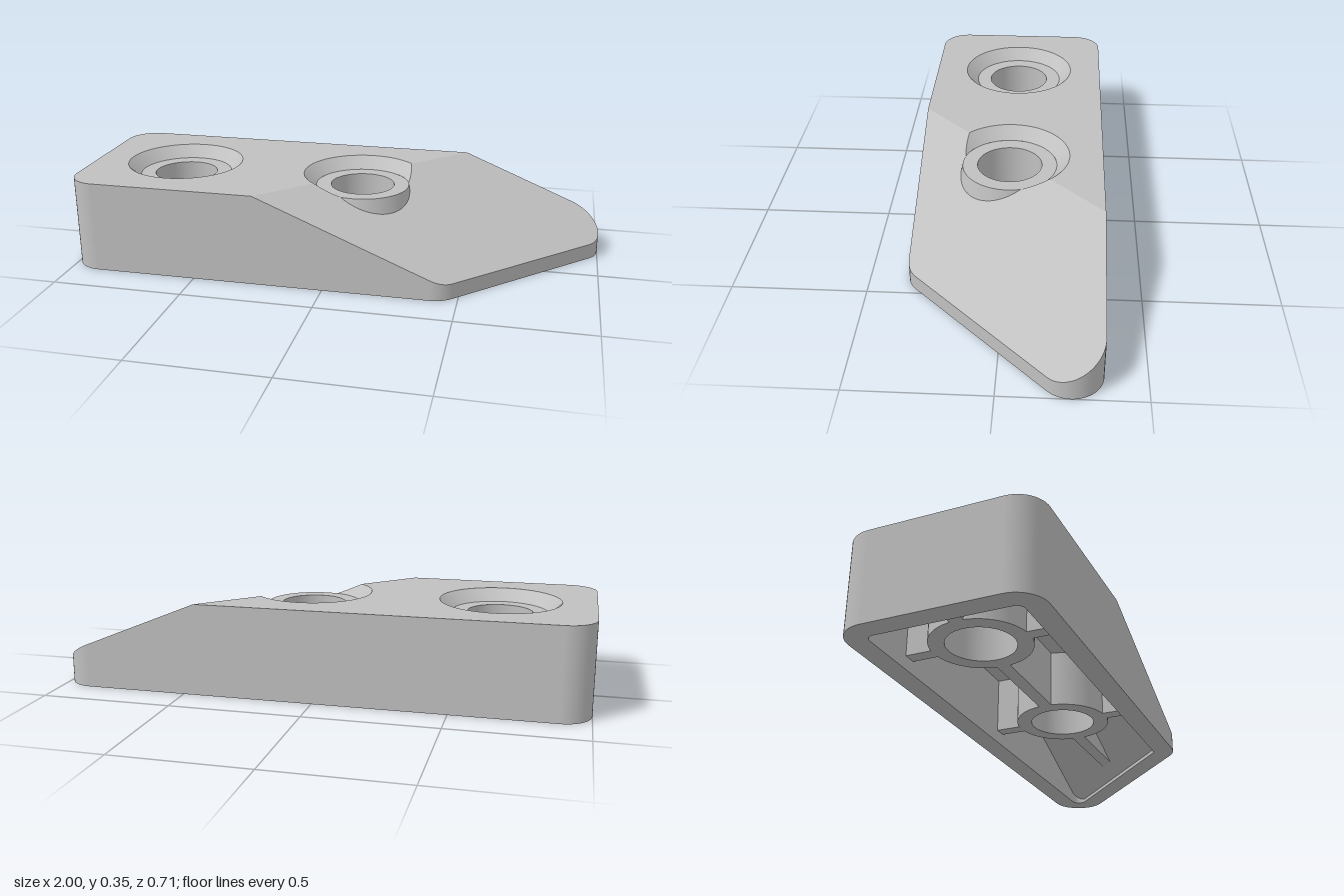
import * as THREE from 'three';
import { toCreasedNormals } from 'three/addons/utils/BufferGeometryUtils.js';

const TOP = 0.35, WALL = 0.08, HALF_Z = 0.355;
const SPLIT = 0.095;              // x + z where the flat top turns into the ramp
const CEIL_SPLIT = 0.066;         // same for the ceiling of the cavity
const RAMP = 0.4113, RAMP_DROP = 0.092;
const HOLES = [-0.645, 0.082];    // x of the two screw holes
const BORE = 0.123, BOSS = 0.18, LIP = 0.228, SEAT = 0.305, BOSS_Y = 0.05;
const D = Math.PI / 180;

// Height of the outer top and of the cavity ceiling, for s = x + z
const topY = (s) => Math.min(TOP, TOP - RAMP * (s - SPLIT));
const ceilY = (s) => Math.min(TOP - WALL, TOP - RAMP * (s - SPLIT) - RAMP_DROP);

// Rounded plan outline as {x, y: -z, nx, ny}, with points where the ramp line crosses it
function outline(inset, split) {
  const pts = [], r = 0.11 - inset, edge = HALF_Z - inset;
  const arc = (cx, cy, from, to) => {
    const n = Math.round((to - from) / 7.5);
    for (let i = 0; i <= n; i++) {
      const a = (from + (to - from) * i / n) * D, nx = Math.cos(a), ny = Math.sin(a);
      pts.push({ x: cx + r * nx, y: cy + r * ny, nx, ny });
    }
  };
  arc(-0.89, -0.245, 180, 270);
  const a = pts.push({ x: split - edge, y: -edge, nx: 0, ny: -1 }) - 1;
  arc(0.3995, -0.245, 270, 315);
  arc(0.89, 0.245, 315, 450);
  const b = pts.push({ x: split + edge, y: edge, nx: 0, ny: 1 }) - 1;
  arc(-0.89, 0.245, 90, 180);
  return { pts, ramp: pts.slice(a, b + 1), flat: [...pts.slice(b), ...pts.slice(0, a + 1)] };
}

// Quad strip between two rows of [x, y, z]
function strip(A, B, normals) {
  const n = A.length, index = [];
  for (let i = 0; i < n - 1; i++) index.push(i, i + 1, n + i + 1, i, n + i + 1, n + i);
  const g = new THREE.BufferGeometry();
  g.setAttribute('position', new THREE.Float32BufferAttribute([...A, ...B].flat(), 3));
  g.setIndex(index);
  if (!normals) return toCreasedNormals(g, 0.5);
  g.setAttribute('normal', new THREE.Float32BufferAttribute([...normals, ...normals].flat(), 3));
  return g;
}

// Vertical wall along an outline, from y = 0 up to a height rule
function wall(pts, height, inward) {
  const loop = [...pts, pts[0]], k = inward ? -1 : 1;
  const low = loop.map((p) => [p.x, 0, -p.y]);
  const high = loop.map((p) => [p.x, height(p.x - p.y), -p.y]);
  const normals = loop.map((p) => [k * p.nx, 0, -k * p.ny]);
  return inward ? strip(high, low, normals) : strip(low, high, normals);
}

// Flat or ramped sheet filling a plan polygon
function panel(pts, holes, height, down) {
  const v2 = (list) => list.map((p) => new THREE.Vector2(p.x, p.y));
  const shape = new THREE.Shape(v2(pts));
  for (const h of holes) shape.holes.push(new THREE.Path(v2(h)));
  const g = new THREE.ShapeGeometry(shape).rotateX(-Math.PI / 2);
  const p = g.attributes.position;
  for (let i = 0; i < p.count; i++) p.setY(i, height(p.getX(i) + p.getZ(i)));
  if (down) g.setIndex(Array.from(g.index.array).reverse());
  g.computeVertexNormals();
  return g;
}

const circle = (cx, r) => Array.from({ length: 64 }, (_, i) =>
  ({ x: cx + r * Math.cos(i * Math.PI / 32), y: r * Math.sin(i * Math.PI / 32) }));

// Points round the second hole, from angle p0 to p1 measured from the ramp direction
function holeArc(p0, p1, radius) {
  return Array.from({ length: 41 }, (_, i) => {
    const phi = p0 + (p1 - p0) * i / 40, r = radius(phi), a = phi - Math.PI / 4;
    return { x: HOLES[1] + r * Math.cos(a), y: r * Math.sin(a), a };
  });
}
const splitAngle = (split, r) => Math.acos((split - HOLES[1]) / (Math.SQRT2 * r));

// Radius where the countersink, or the proud boss flank, meets the top surface
function lipRadius(phi) {
  const base = (r) => topY(HOLES[1] + Math.SQRT2 * r * Math.cos(phi));
  const sunk = base(BOSS) > SEAT;
  let lo = BOSS, hi = 0.25;
  for (let i = 0; i < 40; i++) {
    const r = (lo + hi) / 2;
    const inside = sunk ? SEAT + (r - BOSS) * (TOP - SEAT) / (LIP - BOSS) < base(r)
      : SEAT - (r - BOSS) * 4.5 > base(r);
    if (inside) lo = r; else hi = r;
  }
  return lo;
}

// Tubular boss with bore and seat, optionally with a full countersink
function boss(x, sunk) {
  const profile = [[BORE, BOSS_Y], [BOSS, BOSS_Y], [BOSS, 0.29], ...(sunk ? [[LIP, TOP]] : []),
    [BOSS, SEAT], [BORE, SEAT], [BORE, BOSS_Y]].map((p) => new THREE.Vector2(...p));
  return toCreasedNormals(new THREE.LatheGeometry(profile, 64), 0.5).translate(x, 0, 0);
}

// Stiffening rib running out from a boss, its top buried in the shell
function rib(cx, degrees, length) {
  const a = degrees * D, shape = new THREE.Shape(), start = 0.15;
  shape.moveTo(start, BOSS_Y);
  shape.lineTo(length, BOSS_Y);
  for (let i = 8; i >= 0; i--) {
    const r = start + (length - start) * i / 8;
    const s = cx + r * (Math.cos(a) - Math.sin(a));
    shape.lineTo(r, Math.max(BOSS_Y + 0.001, topY(s) - 0.06));
  }
  return new THREE.ExtrudeGeometry(shape, { depth: 0.05, bevelEnabled: false })
    .translate(0, 0, -0.025).rotateY(a).translate(cx, 0, 0);
}

export function createModel() {
  const group = new THREE.Group();
  const grey = new THREE.MeshStandardMaterial({ color: 0xc0c0c0 });
  grey.name = 'plain grey';
  const add = (name, geometry) => {
    const mesh = new THREE.Mesh(geometry, grey);
    mesh.name = name;
    group.add(mesh);
  };

  // Outer shell
  const outer = outline(0, SPLIT), inner = outline(WALL, CEIL_SPLIT);
  const p = splitAngle(SPLIT, LIP);
  const rampArc = holeArc(p, -p, lipRadius);
  const flatArc = holeArc(2 * Math.PI - p, p, lipRadius);
  add('outerWall', wall(outer.pts, topY, false));
  add('flatTop', panel([...outer.flat, ...flatArc], [circle(HOLES[0], LIP)], topY, false));
  add('ramp', panel([...outer.ramp, ...rampArc], [], topY, false));
  add('bottomRim', panel(outer.pts, [inner.pts], () => 0, true));

  // Hollow underside
  const q = splitAngle(CEIL_SPLIT, 0.15), round = () => 0.15;
  add('innerWall', wall(inner.pts, ceilY, true));
  add('flatCeiling', panel([...inner.flat, ...holeArc(2 * Math.PI - q, q, round)],
    [circle(HOLES[0], 0.15)], ceilY, true));
  add('rampCeiling', panel([...inner.ramp, ...holeArc(q, -q, round)], [], ceilY, true));

  // Countersink of the second hole, turning into the proud flank on the ramp
  for (const [name, arc] of [['bossFlank', rampArc], ['countersink', flatArc]]) {
    const seat = arc.map((c) => [HOLES[1] + BOSS * Math.cos(c.a), SEAT, -BOSS * Math.sin(c.a)]);
    add(name, strip(seat, arc.map((c) => [c.x, topY(c.x - c.y), -c.y])));
  }

  // Bosses and ribs
  HOLES.forEach((x, i) => {
    add('screwBoss', boss(x, i === 0));
    for (const side of [90, -90]) add('crossRib', rib(x, side, 0.31));
  });
  add('endRib', rib(HOLES[0], 180, 0.32));
  add('middleRib', rib(HOLES[0], 0, HOLES[1] - HOLES[0] - 0.15));
  add('rampRib', rib(HOLES[1], 0, 0.59));
  return group;
}
